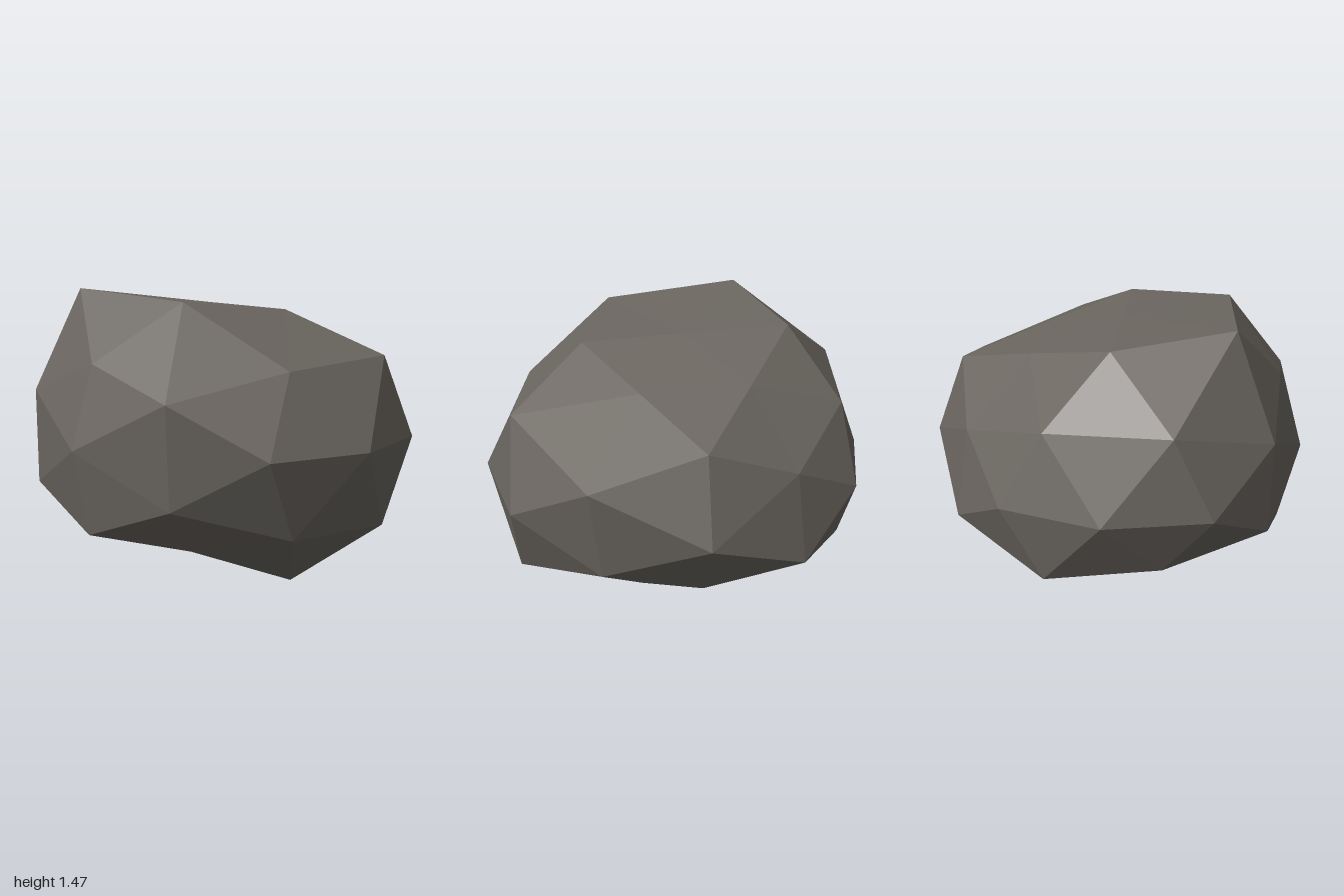
import * as THREE from 'three';

// Radius of each rock corner, grouped by the absolute direction (tenths of x,y,z).
// Within a group the order counts up the sign bits: x first, then y, then z (+ before -).
const RADII = {
  '10,0,0': [1.0, 0.94],
  '0,10,0': [0.837, 0.743],
  '0,0,10': [1.01, 0.93],
  '5,0,9': [1.045, 1.0, 0.94, 0.967],
  '9,5,0': [0.99, 0.95, 0.88, 0.995],
  '0,9,5': [0.95, 1.045, 1.01, 0.805],
  '8,3,5': [1.07, 1.035, 0.96, 0.97, 0.89, 0.96, 0.97, 0.955],
  '3,5,8': [1.06, 0.95, 1.07, 1.0, 0.93, 1.02, 0.965, 0.87],
  '5,8,3': [0.83, 1.065, 0.84, 0.83, 0.86, 1.15, 0.86, 0.79],
};

function radiusFor(dir) {
  const axes = dir.toArray();
  const key = axes.map((a) => Math.round(Math.abs(a) * 10)).join(',');
  let index = 0;
  let bit = 1;
  for (const a of axes) {
    if (Math.abs(a) < 0.01) continue;
    if (a < 0) index += bit;
    bit *= 2;
  }
  return RADII[key][index];
}

export function createModel() {
  const group = new THREE.Group();
  group.name = 'rock';

  const stone = new THREE.MeshStandardMaterial({ color: 0x6b6660, flatShading: true });
  stone.name = 'grey stone';

  // Boulder: a once-divided icosahedron, each corner pushed in or out, then flattened
  const geometry = new THREE.IcosahedronGeometry(1, 1).rotateY(Math.PI / 2);
  const position = geometry.attributes.position;
  const squash = new THREE.Vector3(1, 0.81, 1.03);
  const centre = new THREE.Vector3(-0.03, 0.72, -0.04);
  const v = new THREE.Vector3();
  for (let i = 0; i < position.count; i++) {
    v.fromBufferAttribute(position, i);
    v.multiplyScalar(radiusFor(v)).multiply(squash).add(centre);
    position.setXYZ(i, v.x, v.y, v.z);
  }
  geometry.computeVertexNormals();

  const boulder = new THREE.Mesh(geometry, stone);
  boulder.name = 'boulder';
  group.add(boulder);
  return group;
}
